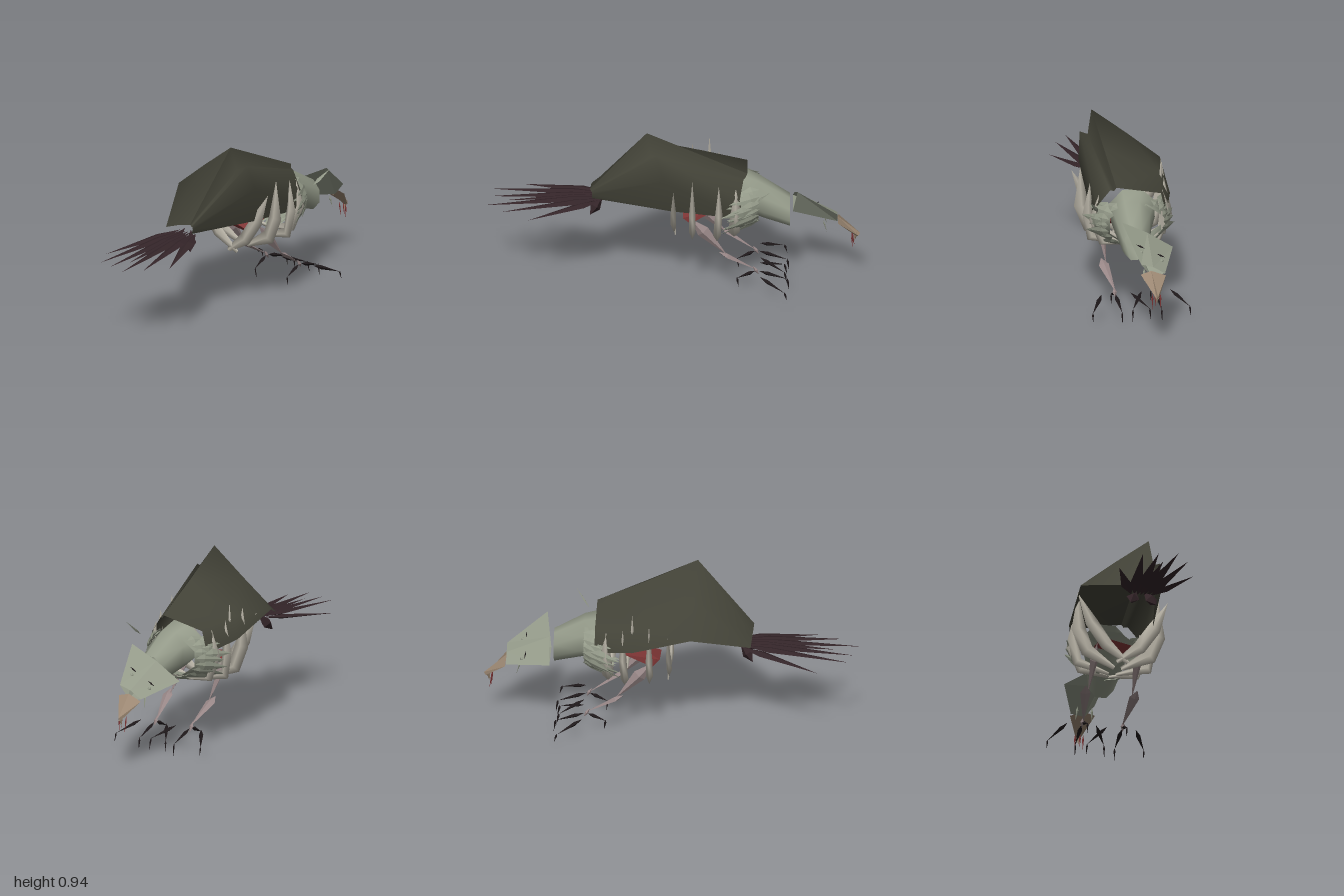
import * as THREE from 'three';

const mat = (name, color) => {
  const m = new THREE.MeshStandardMaterial({ color, side: THREE.DoubleSide });
  m.name = name;
  return m;
};
const V = (p) => new THREE.Vector3(...p);

// Skin a list of equal-length cross-sections; flat gives hard facets
function loft(rings, closed, flat) {
  const n = rings[0].length, index = [], span = closed ? n : n - 1;
  for (let i = 0; i < rings.length - 1; i++) {
    for (let j = 0; j < span; j++) {
      const k = (j + 1) % n, a = i * n + j, b = i * n + k;
      index.push(a, b, a + n, b, b + n, a + n);
    }
  }
  let g = new THREE.BufferGeometry();
  g.setAttribute('position', new THREE.Float32BufferAttribute(rings.flat(2), 3));
  g.setIndex(index);
  if (flat) g = g.toNonIndexed();
  g.computeVertexNormals();
  return g;
}

// Pointed four-sided blade from a to b, widest at fraction f
function blade(a, b, width, thick, f = 0.3, side = [1, 0, 0]) {
  const A = V(a), B = V(b), d = B.clone().sub(A).normalize();
  const s = V(side).addScaledVector(d, -V(side).dot(d)).normalize();
  const t = new THREE.Vector3().crossVectors(d, s);
  const m = A.clone().lerp(B, f);
  const at = (u, v) => m.clone().addScaledVector(s, u).addScaledVector(t, v).toArray();
  const mid = [at(width, 0), at(0, thick), at(-width, 0), at(0, -thick)];
  return loft([Array(4).fill(a), mid, Array(4).fill(b)], true, true);
}

// Angular rib: pointed ends, broad in x and y, thin in z
function rib(points, w, t) {
  const pts = points.map(V), last = pts.length - 1;
  return loft(pts.map((p, i) => {
    const d = pts[Math.min(i + 1, last)].clone().sub(pts[Math.max(i - 1, 0)]).normalize();
    const k = i === 0 ? 0 : i === last ? 0.3 : 1;
    const nx = -d.y * t * k, ny = d.x * t * k;
    return [[p.x + nx, p.y + ny, p.z], [p.x, p.y, p.z + w * k],
      [p.x - nx, p.y - ny, p.z], [p.x, p.y, p.z - w * k]];
  }), true, false);
}

export function createModel() {
  const root = new THREE.Group();
  root.name = 'scavengerBird';
  const M = {
    plumage: mat('darkPlumage', 0x424237), tail: mat('tailBrown', 0x332428),
    bone: mat('bone', 0xbab5a8), skin: mat('greyGreenSkin', 0x949a89),
    beak: mat('beakTan', 0x9b8772), leg: mat('legMauve', 0x978686),
    claw: mat('clawBlack', 0x1e181a), flesh: mat('fleshRed', 0x803636),
  };
  const add = (name, g, m) => {
    const mesh = new THREE.Mesh(g, m);
    mesh.name = name;
    root.add(mesh);
    return mesh;
  };

  // Folded wings: a tall left panel, a valley, then a lower right panel
  add('leftWingPanel', loft([
    [[-0.18, 0.52, -0.40], [-0.15, 0.64, -0.40], [0.09, 0.69, -0.40]],
    [[-0.245, 0.56, -0.20], [-0.2, 0.67, -0.16], [0.098, 0.81, -0.135]],
    [[-0.26, 0.65, 0.11], [-0.08, 0.797, 0.12], [0.105, 0.94, 0.13]],
    [[-0.10, 0.53, 0.42], [-0.02, 0.56, 0.425], [0.07, 0.585, 0.43]],
  ], false, false), M.plumage);
  add('rightWingPanel', loft([
    [[0.09, 0.69, -0.40], [0.10, 0.67, -0.39], [0.12, 0.67, -0.38], [0.185, 0.58, -0.36], [0.19, 0.47, -0.38]],
    [[0.105, 0.94, 0.13], [0.13, 0.81, 0.11], [0.18, 0.84, 0.08], [0.195, 0.70, 0.04], [0.16, 0.50, 0.0]],
    [[0.07, 0.585, 0.43], [0.073, 0.575, 0.425], [0.077, 0.57, 0.42], [0.08, 0.555, 0.42], [0.07, 0.53, 0.42]],
  ], false, false), M.plumage);

  // Tail fan
  [[-0.22, 0.455, 0.78], [-0.13, 0.475, 0.94], [-0.05, 0.475, 0.96], [0.0, 0.48, 0.86],
    [0.05, 0.475, 0.99], [0.125, 0.475, 0.9], [0.19, 0.46, 0.76]].forEach((tip, i) => {
    const x = -0.05 + i * 0.017;
    add('tailFeather', blade([x, 0.51, 0.36], tip, 0.033, 0.012, 0.28), M.tail);
  });
  for (const s of [-1, 1]) {
    add('tailCovert', blade([s * 0.02, 0.525, 0.36], [s * 0.07, 0.43, 0.43], 0.035, 0.03, 0.6), M.tail);
  }

  // Bare ribs on both flanks
  for (const s of [-1, 1]) {
    add('rearRib', rib([[s * 0.245, 0.66, -0.01], [s * 0.17, 0.50, -0.01], [s * 0.09, 0.38, -0.01],
      [-s * 0.03, 0.29, -0.02]], 0.014, 0.036), M.bone);
    add('middleRib', rib([[s * 0.22, 0.71, -0.11], [s * 0.215, 0.5, -0.11], [s * 0.17, 0.38, -0.11],
      [s * 0.02, 0.3, -0.12]], 0.018, 0.04), M.bone);
    add('frontRib', rib([[s * 0.2, 0.67, -0.25], [s * 0.21, 0.5, -0.25], [s * 0.19, 0.37, -0.24],
      [s * 0.02, 0.32, -0.24]], 0.02, 0.03), M.bone);
    add('breastRib', rib([[s * 0.17, 0.64, -0.34], [s * 0.2, 0.5, -0.34], [s * 0.15, 0.37, -0.33],
      [0, 0.34, -0.32]], 0.03, 0.025), M.bone);
  }
  add('backQuill', blade([-0.195, 0.62, -0.2], [-0.195, 0.76, -0.2], 0.008, 0.008), M.bone);
  add('shoulderQuill', blade([0.2, 0.58, -0.45], [0.258, 0.665, -0.52], 0.012, 0.004), M.skin);

  // Exposed flesh between the ribs
  add('flesh', loft([
    [[-0.1, 0.445, -0.06], [-0.1, 0.40, -0.1], [-0.1, 0.47, -0.25]],
    [[0.07, 0.41, -0.06], [0.07, 0.375, -0.1], [0.07, 0.47, -0.25]],
  ], true, true), M.flesh);

  // Feather ruff: two overlapping rings of swept-back blades
  for (let row = 0; row < 2; row++) {
    for (let i = 0; i < 22; i++) {
      const a = ((i + row * 0.5) / 22) * Math.PI * 2, c = Math.cos(a), s = Math.sin(a);
      const jag = ((i * 7 + row * 3) % 5) * 0.014;
      if (s > 0.8) continue;
      const from = [c * (0.15 + row * 0.03), 0.505 + s * 0.12, -0.465 + row * 0.04];
      const to = [c * (0.215 + jag * 0.75), 0.48 + s * (0.125 + jag * 0.6), -0.34 + row * 0.05 + jag * 0.7];
      add('ruffFeather', blade(from, to, 0.03, 0.008, 0.3, [-s, c, 0]), M.skin);
    }
  }

  // Neck: tapering, open-ended
  const ring = (x, y, z, rx, ry, tilt) => Array.from({ length: 8 }, (_, i) => {
    const a = (i / 8) * Math.PI * 2 + Math.PI / 8;
    return [x + rx * Math.cos(a), y + ry * Math.sin(a), z + tilt * Math.sin(a)];
  });
  add('neck', loft([ring(0.0, 0.55, -0.38, 0.13, 0.12, 0.02), ring(0.02, 0.515, -0.48, 0.105, 0.12, 0.02),
    ring(0.035, 0.445, -0.625, 0.075, 0.09, 0)], true, false), M.skin);
  add('breast', loft([ring(0, 0.5, -0.46, 0.15, 0.11, 0), ring(0, 0.49, -0.33, 0.18, 0.13, 0)], true, false), M.skin);

  // Head: wedge rolled to one side, open at the back
  add('head', loft([
    [[0.12, 0.595, -0.665], [-0.02, 0.52, -0.65], [-0.16, 0.425, -0.64], [0.03, 0.43, -0.64]],
    [[0.065, 0.43, -0.875], [0.0, 0.41, -0.875], [-0.065, 0.37, -0.875], [0.01, 0.36, -0.875]],
  ], true, true), M.skin);
  for (const [x, y, lift] of [[0.045, 0.465, 0.015], [-0.065, 0.408, 0.012]]) {
    const eye = add('eye', new THREE.SphereGeometry(0.01, 10, 8), M.skin);
    eye.position.set(x, y, -0.79);
    add('brow', blade([x - 0.022, y + lift, -0.775], [x + 0.022, y + lift + 0.024, -0.77],
      0.003, 0.005, 0.5, [0, 0, 1]), M.claw);
    add('cheekFeather', blade([x * 0.7, 0.38, -0.8], [x * 0.8, 0.31, -0.82], 0.007, 0.004), M.skin);
  }

  // Hooked beak with red strands
  add('beak', loft([
    [[0.01, 0.39, -0.875], [-0.068, 0.36, -0.88], [0, 0.35, -0.88], [0.068, 0.375, -0.88]],
    [[0, 0.285, -0.995], [-0.006, 0.27, -0.985], [0, 0.265, -0.975], [0.006, 0.27, -0.985]],
  ], true, true), M.beak);
  add('beakHook', blade([0, 0.3, -0.975], [0, 0.235, -0.965], 0.012, 0.01), M.beak);
  for (const [x, y, z] of [[-0.02, 0.2, -0.965], [0.02, 0.2, -0.955], [0.005, 0.22, -0.96]]) {
    add('strand', blade([x * 1.1, 0.29, -0.95], [x, y, z], 0.005, 0.004), M.flesh);
  }

  // Legs and feet
  for (const s of [-1, 1]) {
    add('thigh', blade([s * 0.115, 0.43, -0.1], [s * 0.12, 0.22, -0.29], 0.022, 0.035, 0.35), M.leg);
    add('shank', blade([s * 0.14, 0.245, -0.25], [s * 0.105, 0.12, -0.45], 0.028, 0.012, 0.2), M.leg);
    add('ankle', blade([s * 0.11, 0.145, -0.43], [s * 0.11, 0.095, -0.46], 0.012, 0.01, 0.5), M.leg);
    // Each toe: start, knuckle and claw tip
    [[[0.11, 0.115, -0.46], [0.107, 0.065, -0.61], [0.107, 0.0, -0.62]],
      [[0.11, 0.115, -0.44], [0.107, 0.07, -0.345], [0.107, 0.015, -0.355]],
      [[0.185, 0.12, -0.465], [0.262, 0.065, -0.595], [0.264, 0.02, -0.61]],
      [[0.03, 0.12, -0.465], [-0.045, 0.07, -0.595], [-0.05, 0.005, -0.61]],
    ].forEach((toe) => {
      const [a, k, c] = toe.map(([x, y, z]) => [s * x, y, z]);
      add('toe', blade(a, k, 0.012, 0.011, 0.3), M.claw);
      add('claw', blade([k[0], k[1] + 0.005, k[2]], c, 0.005, 0.006, 0.25), M.claw);
    });
  }
  return root;
}
